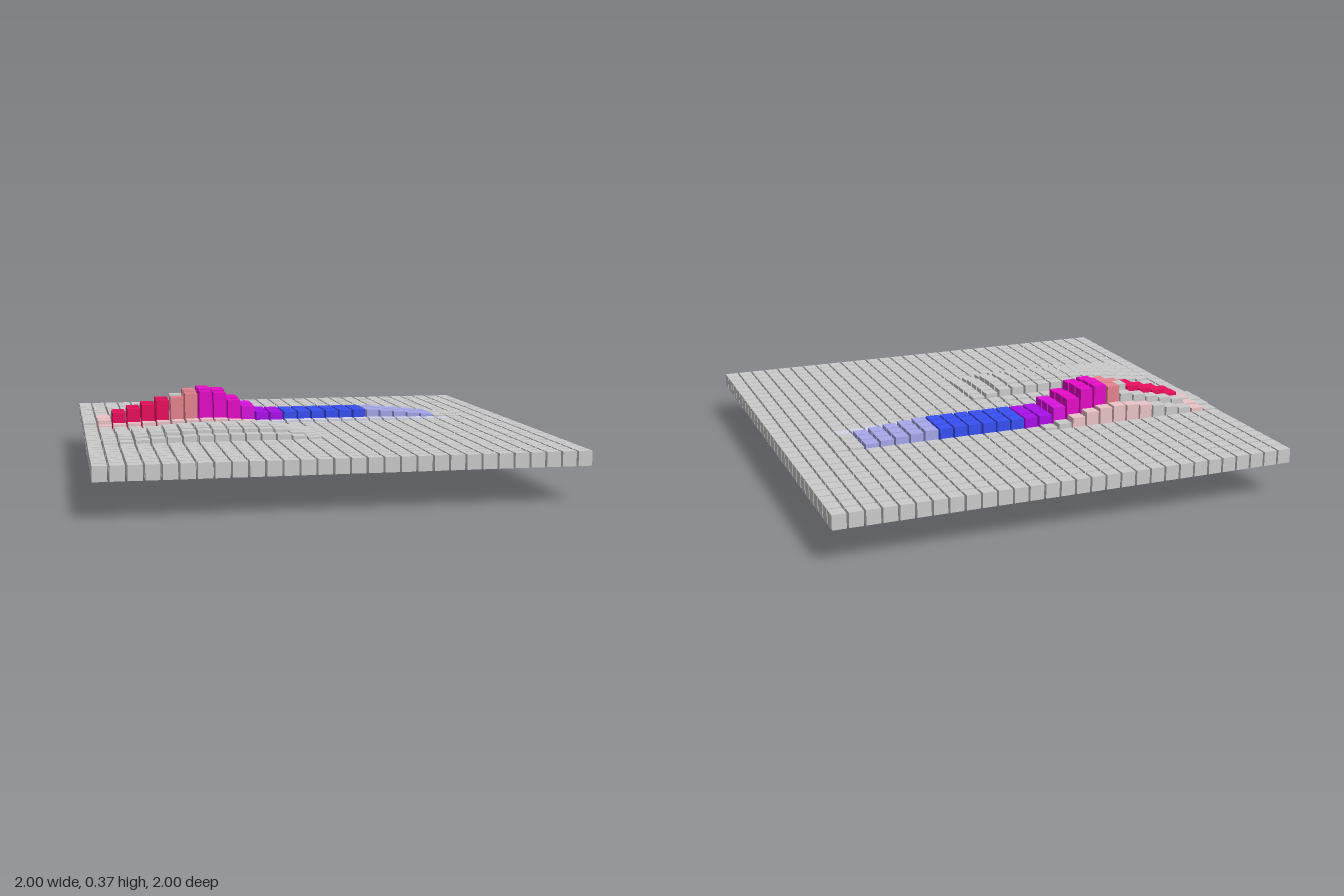
import * as THREE from 'three';
import { mergeGeometries } from 'three/addons/utils/BufferGeometryUtils.js';

const N = 30, SIZE = 0.058, PITCH = (2 - SIZE) / (N - 1);
const MID = 0.183, BASE = 0.031;

// Half heights along the ridge, by column
const RIDGE = [0.041, 0.053, 0.087, 0.106, 0.123, 0.143, 0.158, 0.174, 0.183, 0.175, 0.137, 0.106,
  0.075, 0.073, 0.073, 0.073, 0.073, 0.073, 0.073, 0.073, 0.072, 0.066, 0.06, 0.053, 0.046, 0.037, 0.034];
// Half heights of the shoulder behind the ridge
const SHOULDER = [0.034, 0.045, 0.055, 0.066, 0.08, 0.09, 0.098, 0.102, 0.098, 0.088, 0.07, 0.05, 0.038];
// Half heights of the low grey mound
const MOUND = [0.031, 0.036, 0.044, 0.053, 0.06, 0.067, 0.072, 0.074, 0.075, 0.075, 0.075, 0.073, 0.068, 0.053, 0.04];
const MOUND_ROWS = { 16: 0.1, 17: 0.92, 18: 1, 19: 1, 20: 0.92, 21: 0.6 };

const COLORS = {
  plainCells: 0xcccccc, crimsonCells: 0xec1060, salmonCells: 0xe88490, magentaCells: 0xe80cc8,
  orchidCells: 0xdc14e0, violetCells: 0xac10ec, blueCells: 0x3850f4, paleBlueCells: 0xa8a8ec,
  palePinkCells: 0xecc4c8, lavenderCells: 0xd4d4e8,
};

// Colour band of a cell in column i (along x) and row j (along z)
function band(i, j) {
  if (j < 9 || j > 13 || i < 1) return 'plainCells';
  if (i === 1) return 'palePinkCells';
  if (j === 9) return i >= 5 && i <= 10 ? 'palePinkCells' : 'plainCells';
  if (j === 13) return i <= 11 ? 'palePinkCells' : i <= 25 ? 'lavenderCells' : 'plainCells';
  if (i <= 5) return j === 10 ? 'plainCells' : 'crimsonCells';
  if (i === 6) return j === 12 ? 'salmonCells' : 'plainCells';
  if (i === 7) return 'salmonCells';
  if (i <= 10) return 'magentaCells';
  if (i === 11) return 'orchidCells';
  if (i <= 13) return 'violetCells';
  if (i <= 19) return 'blueCells';
  return i <= 24 ? 'paleBlueCells' : 'plainCells';
}

function halfHeight(i, j) {
  const ridge = RIDGE[i] ?? BASE;
  if (j === 11) return ridge;
  if (j === 12) return BASE + (ridge - BASE) * (i < 14 ? 0.95 : 1);
  if (j === 10) return i < 7 ? BASE + (ridge - BASE) * 0.8 : ridge;
  if (j === 9) return SHOULDER[i] ?? BASE;
  if (j === 13) return BASE + (ridge - BASE) * (i < 14 ? 0.15 : 0.2);
  const k = MOUND_ROWS[j] ?? 0;
  return BASE + ((MOUND[i] ?? BASE) - BASE) * k;
}

export function createModel() {
  const group = new THREE.Group();
  group.name = 'cellGrid';

  // One block per cell, stretched evenly above and below the middle plane
  const bands = {};
  for (let i = 0; i < N; i++) {
    for (let j = 0; j < N; j++) {
      const geo = new THREE.BoxGeometry(SIZE, 2 * halfHeight(i, j), SIZE);
      geo.translate((i - (N - 1) / 2) * PITCH, MID, (j - (N - 1) / 2) * PITCH);
      (bands[band(i, j)] ??= []).push(geo);
    }
  }

  // One mesh per colour band
  for (const [name, list] of Object.entries(bands)) {
    const mesh = new THREE.Mesh(mergeGeometries(list), new THREE.MeshStandardMaterial({ color: COLORS[name] }));
    mesh.name = name;
    group.add(mesh);
  }
  return group;
}
